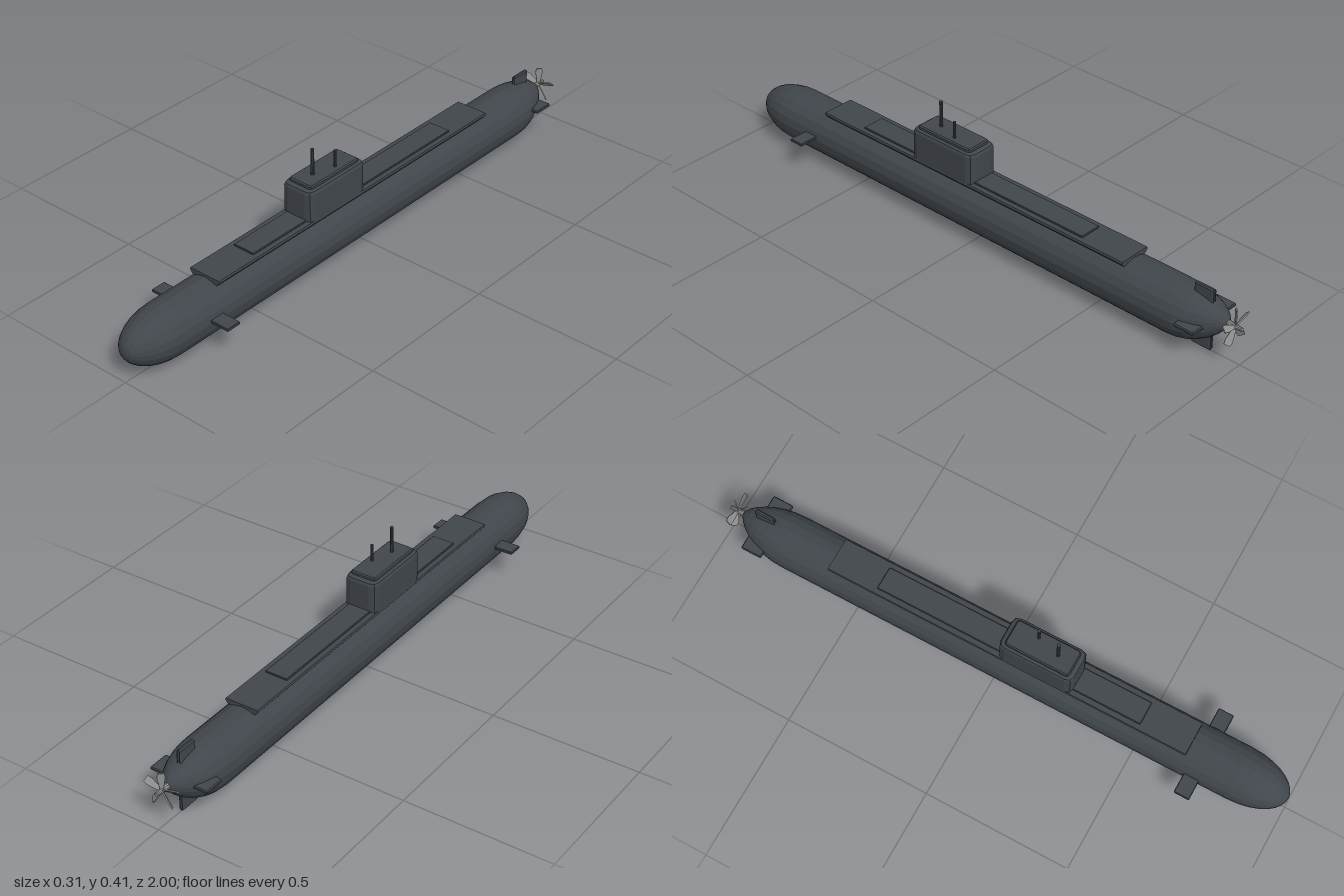
import * as THREE from 'three';

export function createModel() {
  const group = new THREE.Group();
  const mat = (name, color) => {
    const m = new THREE.MeshStandardMaterial({ color, flatShading: true });
    m.name = name;
    return m;
  };
  const hullGrey = mat('hull grey', 0x40464b);
  const propGrey = mat('propeller grey', 0x8c8f8f);

  const add = (name, geo, material = hullGrey, parent = group) => {
    const mesh = new THREE.Mesh(geo, material);
    mesh.name = name;
    parent.add(mesh);
    return mesh;
  };

  // Bevelled block: full width (x), length (z), height range, bevel and corner cut
  const block = (w, l, y0, y1, b, c = b, segments = 1) => {
    const x = w / 2 - b, z = l / 2 - b;
    const shape = new THREE.Shape();
    shape.moveTo(-x + c, -z).lineTo(x - c, -z).quadraticCurveTo(x, -z, x, -z + c)
      .lineTo(x, z - c).quadraticCurveTo(x, z, x - c, z)
      .lineTo(-x + c, z).quadraticCurveTo(-x, z, -x, z - c)
      .lineTo(-x, -z + c).quadraticCurveTo(-x, -z, -x + c, -z);
    const geo = new THREE.ExtrudeGeometry(shape, {
      depth: y1 - y0 - 2 * b, bevelThickness: b, bevelSize: b, bevelSegments: segments, curveSegments: 2,
    });
    return geo.rotateX(-Math.PI / 2).translate(0, y0 + b, 0);
  };

  // Hull: round body with blunt bow and a tapering, slightly raised stern
  const R = 0.0895, BOW = 0.83, STERN = -0.77;
  const profile = [new THREE.Vector2(0, -0.955)];
  for (const t of [0.98, 0.92, 0.83, 0.7, 0.55, 0.38, 0.2, 0])
    profile.push(new THREE.Vector2(R * Math.pow(1 - t * t, 0.66), STERN - t * 0.185));
  for (const t of [0, 0.25, 0.45, 0.62, 0.77, 0.88, 0.955, 0.988])
    profile.push(new THREE.Vector2(R * Math.sqrt(1 - t * t), BOW + t * 0.17));
  profile.push(new THREE.Vector2(0, 1));
  const hull = new THREE.LatheGeometry(profile, 20).rotateX(Math.PI / 2);
  const pos = hull.attributes.position;
  for (let i = 0; i < pos.count; i++) {
    const t = Math.max(0, (STERN - pos.getZ(i)) / 0.185);
    pos.setY(i, pos.getY(i) + 0.1 + 0.025 * t * t);
  }
  add('hull', hull);

  // Deck casing with undercut sides, and the raised panel on it
  const section = new THREE.Shape([
    [-0.05, 0.18], [0.05, 0.18], [0.059, 0.191], [0.057, 0.198], [-0.057, 0.198], [-0.059, 0.191],
  ].map(([x, y]) => new THREE.Vector2(x, y)));
  add('deckCasing', new THREE.ExtrudeGeometry(section, { depth: 1.265, bevelEnabled: false }).translate(0, 0, -0.6));
  add('deckPanel', block(0.08, 0.93, 0.19, 0.203, 0.002)).position.z = 0.035;

  // Sail with its cap and two masts
  add('sail', block(0.116, 0.257, 0.182, 0.304, 0.012, 0.014, 2)).position.z = 0.138;
  add('sailCap', block(0.092, 0.222, 0.3, 0.315, 0.004, 0.008)).position.z = 0.138;
  for (const [name, x, z, top, r] of [['periscope', 0, 0.19, 0.405, 0.0058], ['antennaMast', 0.022, 0.112, 0.373, 0.0048]])
    add(name, new THREE.CylinderGeometry(r, r, top - 0.3, 10)).position.set(x, (top + 0.3) / 2, z);

  // Control surfaces
  for (const side of [1, -1]) {
    const suffix = side > 0 ? 'Left' : 'Right';
    add('bowPlane' + suffix, block(0.105, 0.053, 0.102, 0.112, 0.002)).position.set(side * 0.102, 0, 0.708);
    add('sternPlane' + suffix, block(0.1, 0.073, 0.107, 0.118, 0.003)).position.set(side * 0.053, 0, -0.866);
  }
  add('rudder', block(0.014, 0.073, 0, 0.215, 0.004)).position.z = -0.862;

  // Propeller: hub and five pitched blades
  const propeller = new THREE.Group();
  propeller.name = 'propeller';
  propeller.position.set(0, 0.125, -0.975);
  group.add(propeller);
  add('hub', new THREE.CylinderGeometry(0.011, 0.006, 0.055, 10).rotateX(Math.PI / 2).translate(0, 0, 0.0025), propGrey, propeller);
  const outline = new THREE.Shape([
    [-0.005, 0.004], [0.005, 0.004], [0.012, 0.045], [0.01, 0.06], [-0.01, 0.06], [-0.012, 0.045],
  ].map(([x, y]) => new THREE.Vector2(x, y)));
  for (let i = 0; i < 5; i++) {
    const blade = new THREE.ExtrudeGeometry(outline, { depth: 0.004, bevelEnabled: false });
    blade.translate(0, 0, -0.002).rotateY(0.8).rotateZ((i * Math.PI * 2) / 5);
    add('blade' + (i + 1), blade, propGrey, propeller);
  }
  return group;
}
